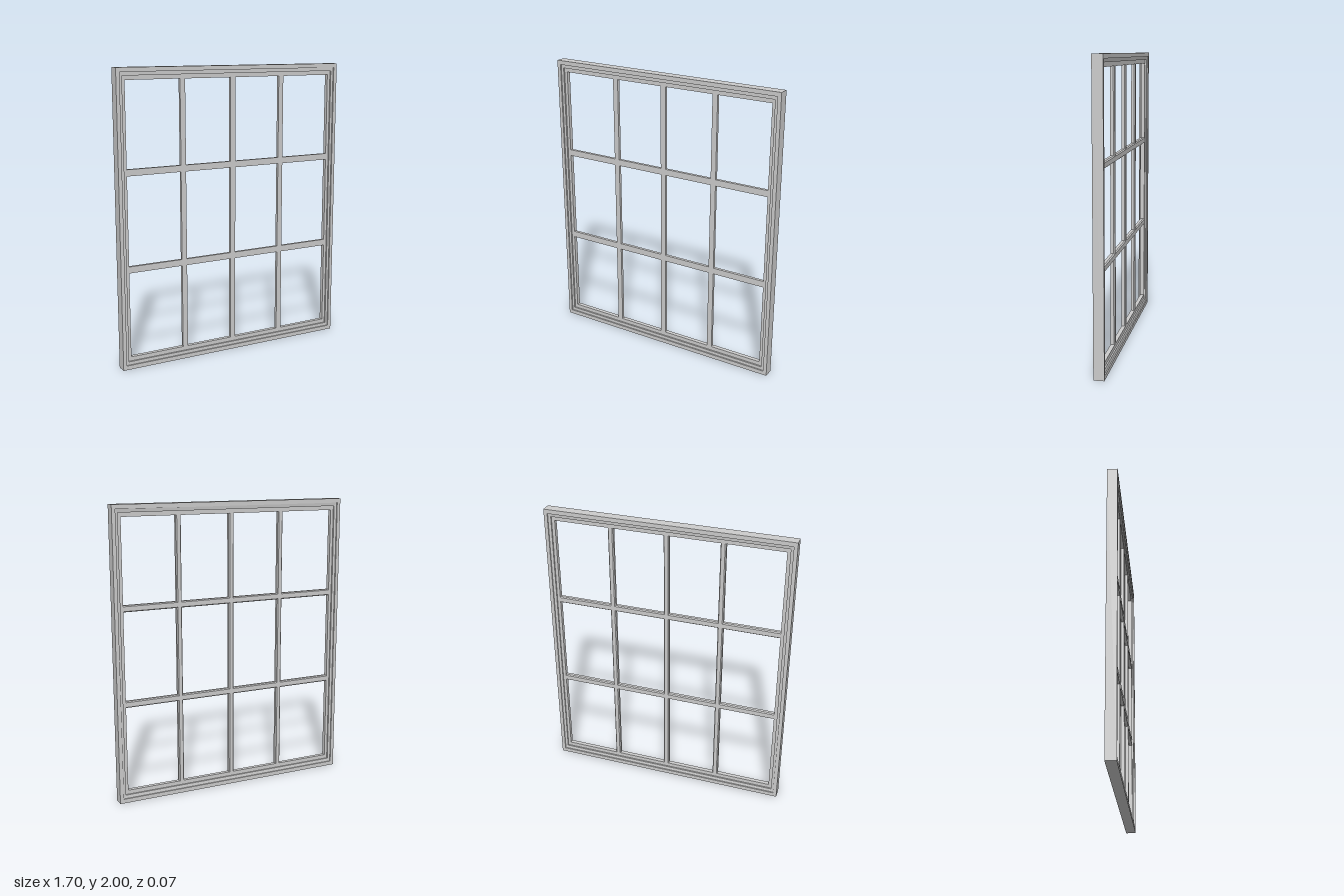
import * as THREE from 'three';

const W = 0.85, H = 2;
const material = new THREE.MeshStandardMaterial({ color: 0xcccccc, flatShading: true });

// Mitred frame: a closed profile of [side inset, top/bottom inset, z] swept round a rectangle
function sweepFrame(profile) {
  const corner = ([ix, iy, z], k) => {
    const sx = k === 0 || k === 3 ? -1 : 1;
    return [sx * (W - ix), k < 2 ? iy : H - iy, z];
  };
  const positions = [];
  for (let k = 0; k < 4; k++) {
    const next = (k + 1) % 4;
    profile.forEach((p, i) => {
      const q = profile[(i + 1) % profile.length];
      const a = corner(p, k), b = corner(p, next), c = corner(q, next), d = corner(q, k);
      positions.push(...a, ...b, ...c, ...a, ...c, ...d);
    });
  }
  const geometry = new THREE.BufferGeometry();
  geometry.setAttribute('position', new THREE.Float32BufferAttribute(positions, 3));
  geometry.computeVertexNormals();
  return geometry;
}

// Glazing bar with a flat front and slightly bevelled back, running along y
function barGeometry(width, length) {
  const w = width / 2, front = 0.015, mid = -0.006, back = -0.014, b = 0.006;
  const shape = new THREE.Shape([
    [-w, -front], [w, -front], [w, -mid], [w - b, -back], [-w + b, -back], [-w, -mid],
  ].map(([x, y]) => new THREE.Vector2(x, y)));
  const geometry = new THREE.ExtrudeGeometry(shape, { depth: length, bevelEnabled: false });
  return geometry.translate(0, 0, -length / 2).rotateX(-Math.PI / 2).rotateY(Math.PI)
    .rotateY(Math.PI);
}

export function createModel() {
  const group = new THREE.Group();
  group.name = 'window';
  const add = (name, geometry, x = 0, y = 0) => {
    const mesh = new THREE.Mesh(geometry, material);
    mesh.name = name;
    mesh.position.set(x, y, 0);
    group.add(mesh);
    return mesh;
  };

  // Outer frame, stepped in towards the panes on both faces
  add('frame', sweepFrame([
    [0, 0, -0.035], [0, 0, 0.035],
    [0.025, 0.029, 0.035], [0.025, 0.029, 0.026],
    [0.044, 0.052, 0.026], [0.044, 0.052, 0.015],
    [0.066, 0.08, 0.015], [0.066, 0.08, -0.014],
    [0.044, 0.052, -0.014], [0.044, 0.052, -0.024],
    [0.025, 0.029, -0.027], [0.025, 0.029, -0.035],
  ]));

  // Upright glazing bars
  for (const x of [-0.377, 0.002, 0.388]) {
    add('uprightBar', barGeometry(0.037, 1.86), x, 1);
  }

  // Level glazing bars
  for (const y of [0.682, 1.328]) {
    add('levelBar', barGeometry(0.044, 1.58), 0, y).rotation.z = Math.PI / 2;
  }
  return group;
}
